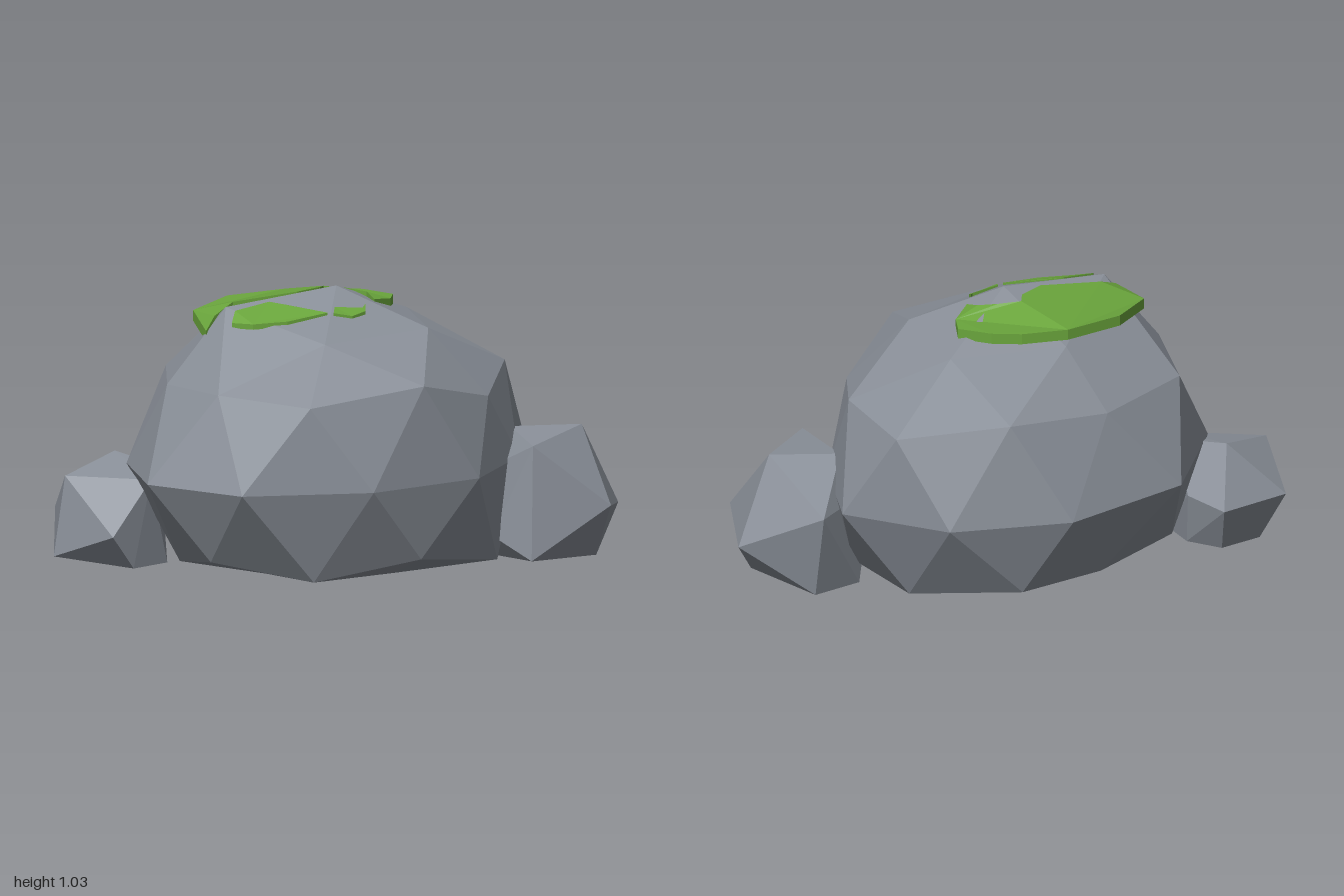
import * as THREE from 'three';
import { ConvexGeometry } from 'three/addons/geometries/ConvexGeometry.js';

const stone = new THREE.MeshStandardMaterial({ color: 0x8a9099, flatShading: true });
stone.name = 'stone';
const moss = new THREE.MeshStandardMaterial({ color: 0x6aa53c, flatShading: true, side: THREE.DoubleSide });
moss.name = 'moss';

const vec = (p) => new THREE.Vector3(...p);

// Flat faceted geometry from triangles of [x, y, z] points
function facets(tris) {
  const geo = new THREE.BufferGeometry();
  geo.setAttribute('position', new THREE.Float32BufferAttribute(tris.flat(2), 3));
  geo.computeVertexNormals();
  return geo;
}

function addPart(group, name, geo, mat) {
  const mesh = new THREE.Mesh(geo, mat);
  mesh.name = name;
  group.add(mesh);
}

// Boulder: rings of points running from the front towards +x, joined in bands
function boulderGeometry() {
  const top = [-0.04, 1.03, 0.01];
  const crown = [[0.20, 0.885, 0.27], [0.37, 0.89, -0.15], [-0.02, 0.9, -0.36], [-0.49, 0.98, -0.05], [-0.30, 0.875, 0.34]];
  const shoulder = [[-0.06, 0.74, 0.65], [0.35, 0.64, 0.45], [0.62, 0.71, 0.14], [0.75, 0.70, -0.27], [0.43, 0.75, -0.55],
    [-0.02, 0.70, -0.59], [-0.48, 0.70, -0.48], [-0.71, 0.70, -0.11], [-0.72, 0.71, 0.26], [-0.53, 0.69, 0.60]];
  const waist = [[0.19, 0.64], [0.58, 0.30], [0.84, -0.07], [0.67, -0.48], [0.26, -0.71],
    [-0.30, -0.69], [-0.73, -0.36], [-0.93, 0.10], [-0.78, 0.52], [-0.32, 0.71]].map(([x, z]) => [x, 0.37, z]);
  const foot = [[-0.06, 0.085, 0.63], [0.39, 0.02, 0.45], [0.60, 0.07, 0.14], [0.64, 0.045, -0.22], [0.36, 0.07, -0.54],
    [-0.04, 0.05, -0.53], [-0.46, 0.07, -0.46], [-0.66, 0.03, -0.10], [-0.74, 0.08, 0.24], [-0.47, 0.02, 0.53]];
  const base = [0, 2, 4, 6, 8].map((k) => [shoulder[k][0] * 0.62, 0, shoulder[k][2] * 0.62]);
  const hollow = [-0.04, 0.27, 0];
  const tris = [];
  for (let k = 0; k < 10; k++) {
    const n = (k + 1) % 10, p = (k + 9) % 10;
    tris.push([shoulder[k], waist[p], waist[k]], [shoulder[k], waist[k], shoulder[n]]);
    tris.push([foot[k], waist[k], waist[p]], [foot[k], foot[n], waist[k]]);
  }
  for (let i = 0; i < 5; i++) {
    const j = (i + 1) % 5, a = 2 * i, b = a + 1, c = (a + 2) % 10, p = (a + 9) % 10;
    // crown and peak
    tris.push([shoulder[a], shoulder[b], crown[i]], [shoulder[b], shoulder[c], crown[i]]);
    tris.push([shoulder[c], crown[j], crown[i]], [crown[i], crown[j], top]);
    // underside with a hollow in the middle
    tris.push([foot[a], foot[p], base[i]], [foot[b], foot[a], base[i]]);
    tris.push([foot[b], base[i], base[j]], [base[j], base[i], hollow]);
  }
  return facets(tris);
}

// Small rock: a hull whose flat base is replaced by a shallow hollow
function smallRockGeometry(points, baseXZ, hollow) {
  const base = baseXZ.map(([x, z]) => [x, 0, z]);
  const pos = new ConvexGeometry([...points, ...base].map(vec)).attributes.position;
  const tris = base.map((p, i) => [base[(i + 1) % base.length], p, hollow]);
  for (let i = 0; i < pos.count; i += 3) {
    const tri = [i, i + 1, i + 2].map((k) => [pos.getX(k), pos.getY(k), pos.getZ(k)]);
    if (tri.some((p) => p[1] > 0.001)) tris.push(tri);
  }
  return facets(tris);
}

// Moss patch: an uneven sheet with a rim hanging from its outline
function mossGeometry(outline, rim) {
  const flat = outline.map(([x, , z]) => new THREE.Vector2(x, -z));
  const tris = THREE.ShapeUtils.triangulateShape(flat, []).map((f) => f.map((i) => outline[i]));
  outline.forEach((a, i) => {
    const b = outline[(i + 1) % outline.length];
    const a2 = [a[0], a[1] - rim, a[2]], b2 = [b[0], b[1] - rim, b[2]];
    tris.push([a, a2, b2], [a, b2, b]);
  });
  return facets(tris);
}

export function createModel() {
  const group = new THREE.Group();
  group.name = 'mossyRocks';
  addPart(group, 'boulder', boulderGeometry(), stone);

  // Small rocks
  addPart(group, 'frontSmallRock', smallRockGeometry([
    [0.82, 0.48, 0.36], [1.0, 0.165, 0.33], [0.79, 0.21, 0.61], [0.44, 0.03, 0.61],
    [0.49, 0.45, 0.54], [0.86, 0.33, 0.01], [0.6, 0.47, 0.21], [0.40, 0.1, 0.4], [0.45, 0.3, 0.2]],
  [[0.82, 0.46], [0.83, 0.09], [0.62, 0.08], [0.5, 0.25], [0.54, 0.46]], [0.67, 0.09, 0.28]), stone);
  addPart(group, 'backSmallRock', smallRockGeometry([
    [-0.95, 0.33, -0.44], [-1.0, 0.03, -0.44], [-0.91, 0.13, -0.17], [-0.86, 0.18, -0.65],
    [-0.56, 0.18, -0.64], [-0.68, 0.39, -0.52], [-0.54, 0.2, -0.46], [-0.62, 0.36, -0.3], [-0.73, 0.33, -0.19]],
  [[-0.8, -0.2], [-0.62, -0.25], [-0.57, -0.42], [-0.62, -0.56], [-0.8, -0.57]], [-0.69, 0.08, -0.41]), stone);

  // Moss around the peak
  addPart(group, 'backMoss', mossGeometry([
    [-0.57, 0.895, -0.06], [-0.50, 0.94, -0.26], [-0.28, 0.96, -0.37], [-0.03, 0.965, -0.36], [0.13, 0.965, -0.28],
    [0.21, 0.965, -0.2], [0.26, 0.96, -0.07], [0.20, 0.96, 0.01], [0.09, 0.975, 0.07], [0.10, 0.993, 0.0],
    [0.05, 1.003, -0.06], [-0.02, 1.01, -0.11], [-0.06, 1.015, -0.07], [-0.18, 1.012, -0.04],
    [-0.42, 0.985, -0.11], [-0.52, 0.945, -0.08]], 0.04), moss);
  addPart(group, 'sideMoss', mossGeometry([
    [-0.52, 0.935, 0.04], [-0.48, 0.972, 0.0], [-0.33, 0.993, 0.0], [-0.28, 0.983, 0.05],
    [-0.18, 0.962, 0.17], [-0.35, 0.942, 0.16], [-0.47, 0.935, 0.11]], 0.02), moss);
  addPart(group, 'frontMoss', mossGeometry([
    [-0.16, 0.96, 0.18], [-0.13, 0.975, 0.14], [-0.02, 0.965, 0.16], [0.01, 0.975, 0.135],
    [-0.02, 0.955, 0.18], [-0.09, 0.945, 0.20]], 0.015), moss);
  return group;
}
